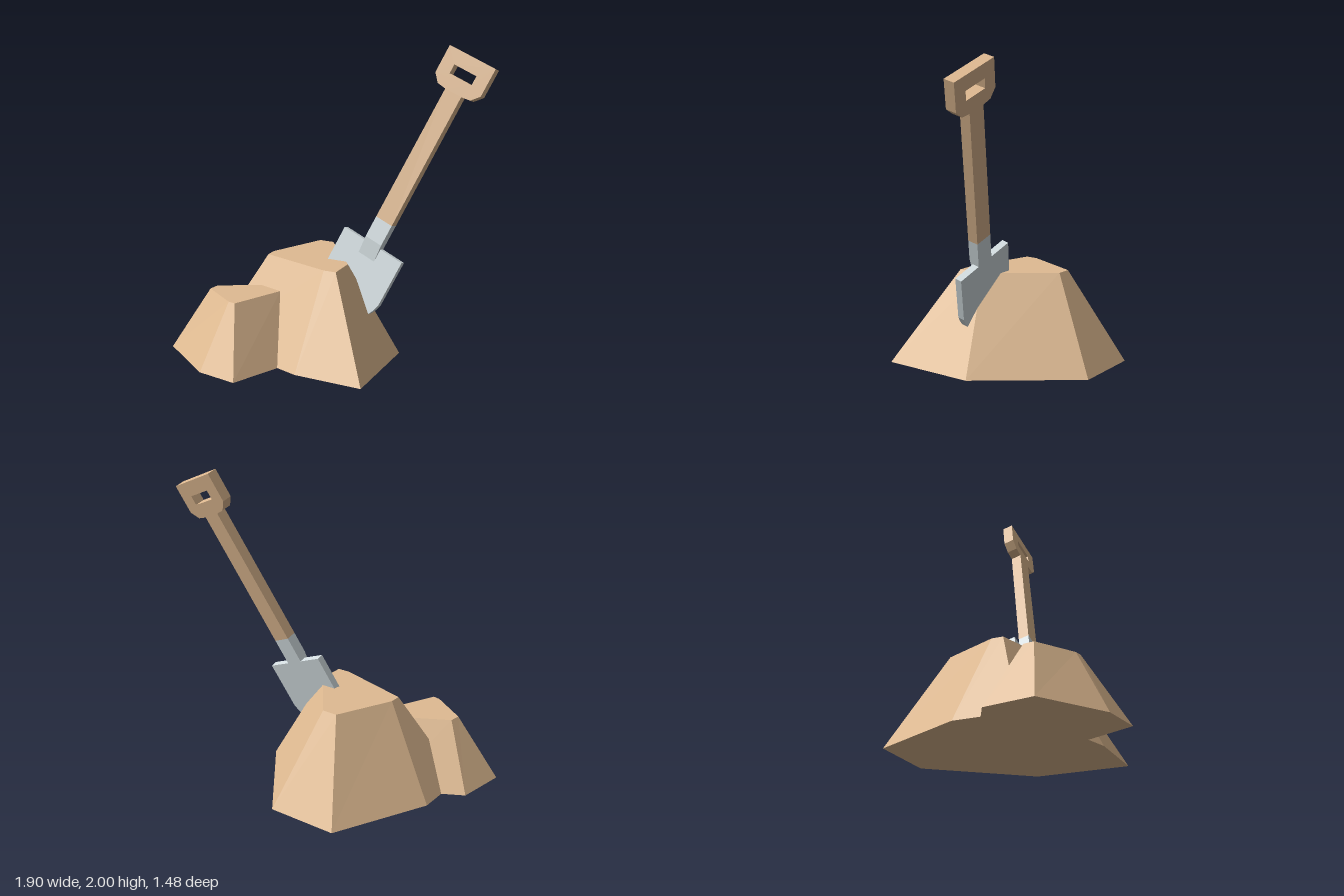
import * as THREE from 'three';

const material = (color) => new THREE.MeshStandardMaterial({ color, flatShading: true });

function part(name, geometry, mat) {
  const mesh = new THREE.Mesh(geometry, mat);
  mesh.name = name;
  return mesh;
}

const polygon = (points) => new THREE.Shape(points.map(([x, y]) => new THREE.Vector2(x, y)));

// Plate of a given thickness, back face on z = 0
const plate = (shape, depth) =>
  new THREE.ExtrudeGeometry(shape, { depth, bevelEnabled: false, curveSegments: 6 });

// Solid between a base outline on the ground and a matching top outline;
// both are [x, z] lists running back-left, back-right, front-right, front-left
function frustum(base, top, height) {
  const n = base.length;
  const positions = [];
  const index = [];
  base.forEach(([x, z]) => positions.push(x, 0, z));
  top.forEach(([x, z]) => positions.push(x, height, z));
  for (let i = 0; i < n; i++) {
    const j = (i + 1) % n;
    index.push(i, n + i, j, j, n + i, n + j);
  }
  for (let i = 1; i < n - 1; i++) {
    index.push(n, n + i + 1, n + i); // top
    index.push(0, i, i + 1); // underside
  }
  const indexed = new THREE.BufferGeometry();
  indexed.setAttribute('position', new THREE.Float32BufferAttribute(positions, 3));
  indexed.setIndex(index);
  const geometry = indexed.toNonIndexed();
  geometry.computeVertexNormals();
  return geometry;
}

function createShovel() {
  const wood = material(0xdcb78f);
  const metal = material(0xd3dde0);
  const shovel = new THREE.Group();
  shovel.name = 'shovel';

  // Wooden shaft with its D-shaped grip
  const half = [[0.062, 0.176], [0.06, 1.1], [0.122, 1.108], [0.17, 1.16], [0.17, 1.35]];
  const mirrored = half.map(([x, y]) => [-x, y]).reverse();
  const handle = polygon([...half, ...mirrored]);
  handle.holes.push(polygon([[-0.082, 1.195], [-0.082, 1.257], [0.082, 1.257], [0.082, 1.195]]));
  shovel.add(part('handle', plate(handle, 0.072), wood));

  // Metal socket, its front sloping down into the blade
  const profile = polygon([
    [0, 0], [0.03, 0], [0.03, -0.09], [0.046, -0.09], [0.072, 0.03], [0.072, 0.176], [0, 0.176],
  ]);
  const socket = plate(profile, 0.124);
  socket.rotateY(-Math.PI / 2);
  socket.translate(0.062, 0, 0);
  shovel.add(part('socket', socket, metal));

  // Blade with a rounded point
  const blade = new THREE.Shape();
  blade.moveTo(-0.23, 0);
  blade.lineTo(-0.23, -0.32);
  blade.quadraticCurveTo(-0.2, -0.47, 0, -0.58);
  blade.quadraticCurveTo(0.2, -0.47, 0.23, -0.32);
  blade.lineTo(0.23, 0);
  shovel.add(part('blade', plate(blade, 0.046), metal));

  // Leaning back and to the side
  shovel.position.set(0.265, 0.718, -0.153);
  shovel.rotation.set(THREE.MathUtils.degToRad(-15), 0, THREE.MathUtils.degToRad(-23));
  return shovel;
}

export function createModel() {
  const model = new THREE.Group();
  model.name = 'dirtPileWithShovel';
  const dirt = material(0xe0bb92);

  const large = frustum(
    [[-0.47, -0.74], [-0.01, -0.74], [0.45, -0.14], [0.45, 0.47], [-0.005, 0.47], [-0.765, 0.256], [-0.765, -0.137]],
    [[-0.27, -0.42], [-0.17, -0.42], [0.125, -0.03], [0.125, 0.15], [0.04, 0.15], [-0.44, 0.015], [-0.44, -0.06]],
    0.6,
  );
  const small = frustum(
    [[-0.44, -0.137], [0.03, 0.01], [-0.29, 0.74], [-0.56, 0.7], [-0.95, 0.43], [-0.9, 0.11]],
    [[-0.435, 0.115], [-0.27, 0.165], [-0.42, 0.49], [-0.47, 0.48], [-0.705, 0.325], [-0.695, 0.255]],
    0.415,
  );
  model.add(part('largeMound', large, dirt), part('smallMound', small, dirt), createShovel());
  return model;
}
